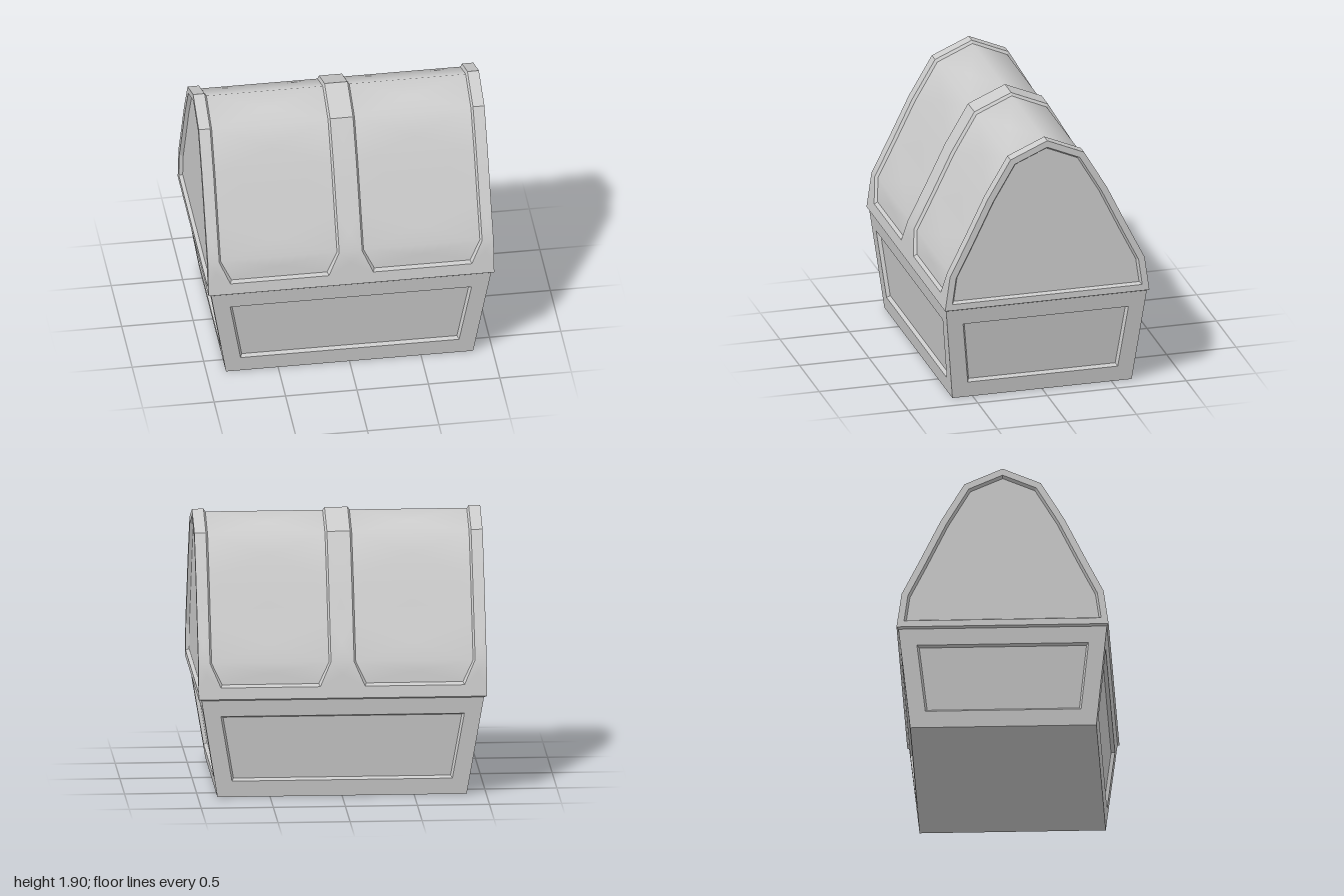
import * as THREE from 'three';
import { mergeVertices, toCreasedNormals } from 'three/addons/utils/BufferGeometryUtils.js';

const material = new THREE.MeshStandardMaterial({ color: 0xcccccc });
const V = (x, y, z) => new THREE.Vector3(x, y, z);

// Half sizes of the base at its bottom and top, and of the lid at its lower edge
const BASE = { height: 0.7, x: [0.865, 0.98], z: [0.645, 0.722] };
const LID = { bottom: 0.71, x: 1, z: 0.735 };

// Collects quads and fans (corners counter-clockwise from outside) into a mesh
class Surface {
  constructor() { this.points = []; }
  tri(a, b, c) { for (const p of [a, b, c]) this.points.push(p.x, p.y, p.z); }
  // Four triangles about the centre keep smooth shading even
  quad(...corners) {
    const centre = V(0, 0, 0);
    corners.forEach((p) => centre.addScaledVector(p, 0.25));
    corners.forEach((p, i) => this.tri(p, corners[(i + 1) % 4], centre));
  }
  fan(loop) { for (let i = 1; i < loop.length - 1; i++) this.tri(loop[0], loop[i], loop[i + 1]); }
  ring(outer, inner) {
    outer.forEach((p, i) => {
      const j = (i + 1) % outer.length;
      this.quad(p, outer[j], inner[j], inner[i]);
    });
  }
  // Fully smooth unless a crease angle is given
  mesh(name, crease) {
    let g = new THREE.BufferGeometry();
    g.setAttribute('position', new THREE.Float32BufferAttribute(this.points, 3));
    if (crease === undefined) {
      g = mergeVertices(g, 1e-4);
      g.computeVertexNormals();
    } else g = toCreasedNormals(g, crease);
    const m = new THREE.Mesh(g, material);
    m.name = name;
    return m;
  }
}

// Moves a planar loop inwards by d and back along its normal by depth
function inset(loop, d, depth = 0) {
  const n = loop.length;
  const normal = V(0, 0, 0);
  loop.forEach((p, i) => normal.add(p.clone().cross(loop[(i + 1) % n])));
  normal.normalize();
  const inward = loop.map((p, i) => normal.clone().cross(loop[(i + 1) % n].clone().sub(p)).normalize());
  return loop.map((p, i) => {
    const a = inward[(i + n - 1) % n], b = inward[i];
    return p.clone().addScaledVector(a.clone().add(b), d / (1 + a.dot(b))).addScaledVector(normal, -depth);
  });
}

// Flat frame around a sunken, bevelled panel
function framedPanel(name, outer, opening) {
  const s = new Surface();
  const floor = inset(opening, 0.014, 0.025);
  s.ring(outer, opening);
  s.ring(opening, floor);
  s.fan(floor);
  return s.mesh(name, 0.1);
}

// Level rectangle, counter-clockwise from below
const levelLoop = (x, y, z) => [V(-x, y, -z), V(x, y, -z), V(x, y, z), V(-x, y, z)];

// Tapered base with a sunken panel on each side
function createBase() {
  const base = new THREE.Group();
  base.name = 'base';
  const { height, x, z } = BASE;
  const at = (r, y) => r[0] + (r[1] - r[0]) * y / height;
  const loop = (w0, w1, y0, y1, d) => [
    V(-w0, y0, at(d, y0)), V(w0, y0, at(d, y0)), V(w1, y1, at(d, y1)), V(-w1, y1, at(d, y1))];
  const sides = [
    ['baseFront', x, z, 0.765, 0.845], ['baseLeft', z, x, 0.54, 0.595],
    ['baseBack', x, z, 0.765, 0.845], ['baseRight', z, x, 0.54, 0.595]];
  sides.forEach(([name, w, d, h0, h1], i) => {
    const m = framedPanel(name, loop(w[0], w[1], 0, height, d), loop(h0, h1, 0.115, 0.585, d));
    m.rotation.y = i * Math.PI / 2;
    base.add(m);
  });
  const bottom = new Surface();
  bottom.fan(levelLoop(x[0], 0, z[0]));
  base.add(bottom.mesh('baseBottom', 0.1));
  return base;
}

// Arched lid: ribs and rims around two sunken panels that run over the ridge
function createLid() {
  const lid = new THREE.Group();
  lid.name = 'lid';
  const mirror = (half) => [...half, ...half.slice(0, -1).reverse().map(([z, y]) => [-z, y])];
  const upper = [[0.58, 1.2], [0.43, 1.51], [0.265, 1.79], [0, 1.905]];
  const profile = mirror([[LID.z, LID.bottom], [0.7, 0.96], ...upper]);

  // Stations of the openings, and of the panel floors below them
  const rim = mirror([[0.724, 0.79], [0.7, 0.96], ...upper]);
  const sunk = mirror([[0.702, 0.808], [0.68, 0.955],
    [0.562, 1.191], [0.412, 1.5], [0.252, 1.774], [0, 1.885]]);
  const last = rim.length - 1;
  const isEnd = (i) => i === 0 || i === last;
  const half = (i) => (isEnd(i) ? 0.345 : 0.42);
  const halfIn = (i) => (isEnd(i) ? 0.335 : 0.407);
  const P = (x, [z, y]) => V(x, y, z);

  const shell = new Surface(), bevel = new Surface();
  const strip = (s, rows, x0, x1, i) =>
    s.quad(P(x0(i), rows[i]), P(x1(i), rows[i]), P(x1(i + 1), rows[i + 1]), P(x0(i + 1), rows[i + 1]));
  for (let i = 0; i < last; i++) {
    strip(shell, rim, () => -LID.x, (k) => -0.5 - half(k), i);
    strip(shell, rim, (k) => -0.5 + half(k), (k) => 0.5 - half(k), i);
    strip(shell, rim, (k) => 0.5 + half(k), () => LID.x, i);
  }
  // Lower rims, front and back
  const band = (a, b) => shell.quad(P(-LID.x, a), P(LID.x, a), P(LID.x, b), P(-LID.x, b));
  band(profile[0], rim[0]);
  band(rim[last], profile[last]);

  for (const cx of [-0.5, 0.5]) {
    const floor = new Surface();
    const out = (side, i) => P(cx + side * half(i), rim[i]);
    const inn = (side, i) => P(cx + side * halfIn(i), sunk[i]);
    for (let i = 0; i < last; i++) {
      strip(floor, sunk, (k) => cx - halfIn(k), (k) => cx + halfIn(k), i);
      bevel.quad(out(-1, i), inn(-1, i), inn(-1, i + 1), out(-1, i + 1));
      bevel.quad(inn(1, i), out(1, i), out(1, i + 1), inn(1, i + 1));
    }
    bevel.quad(out(-1, 0), out(1, 0), inn(1, 0), inn(-1, 0));
    bevel.quad(inn(-1, last), inn(1, last), out(1, last), out(-1, last));
    lid.add(floor.mesh(cx < 0 ? 'lidPanelRight' : 'lidPanelLeft'));
  }
  lid.add(shell.mesh('lidRibs', 0.5), bevel.mesh('lidPanelBevels', 0.3));

  // Narrow underside lip where the lid overhangs the base
  const lip = new Surface();
  lip.ring(levelLoop(LID.x, LID.bottom, LID.z), levelLoop(BASE.x[1], BASE.height, BASE.z[1]));
  lid.add(lip.mesh('lidLip', 0.1));

  // Gable ends
  const outline = profile.map((p) => P(LID.x, p)).reverse();
  const left = framedPanel('lidEndLeft', outline, inset(outline, 0.045));
  const right = left.clone();
  right.name = 'lidEndRight';
  right.rotation.y = Math.PI;
  lid.add(left, right);
  return lid;
}

export function createModel() {
  const chest = new THREE.Group();
  chest.name = 'chest';
  chest.add(createBase(), createLid());
  return chest;
}
